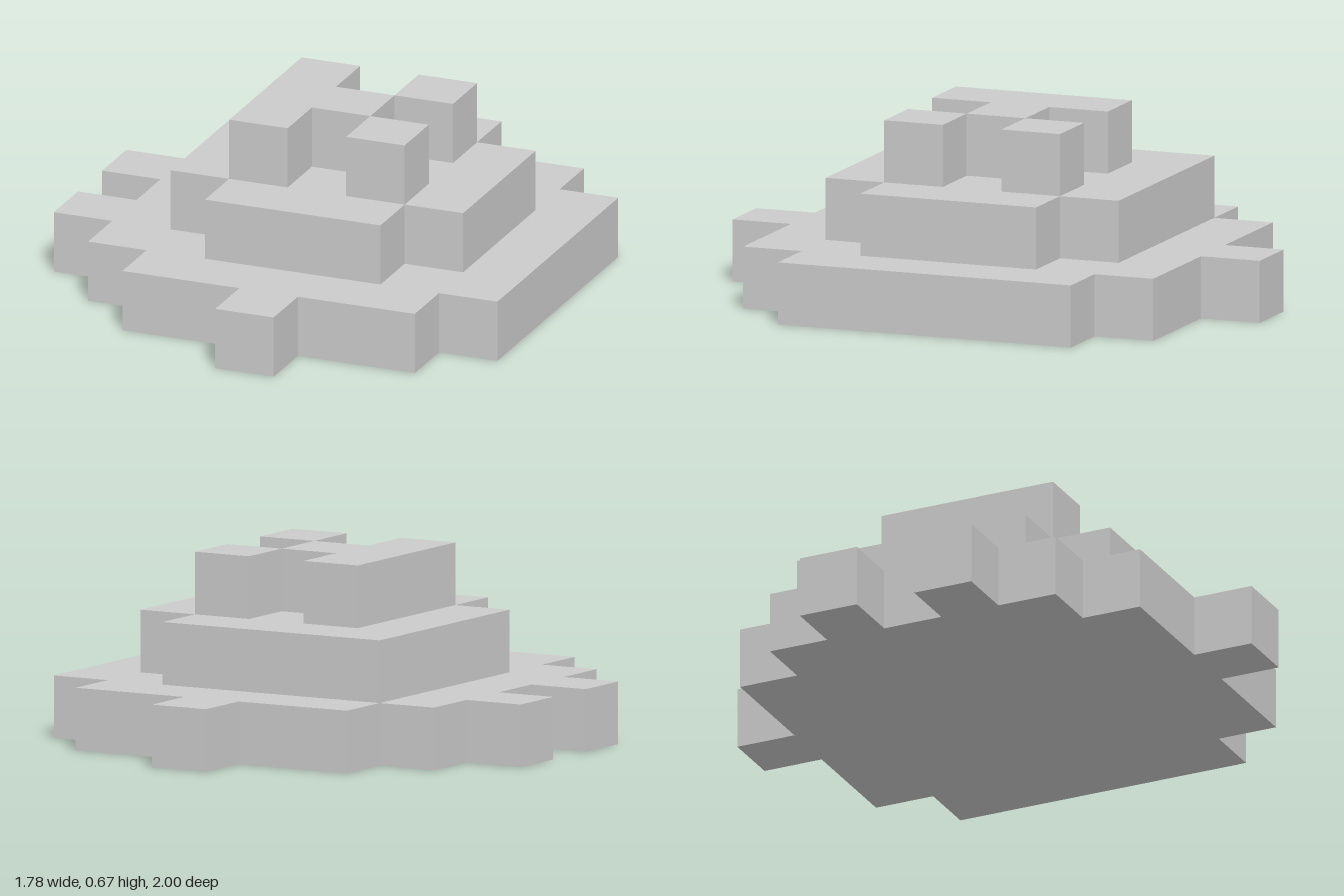
import * as THREE from 'three';

const CELL = 2 / 9; // edge of one cube in the blocky grid

// One flat slab: rows are [xStart, xEnd] cell spans, stacked from back to front starting at zStart.
function slab(name, level, zStart, rows, material) {
  const right = [], left = [];
  rows.forEach(([a, b], i) => {
    right.push([b, zStart + i], [b, zStart + i + 1]);
    left.push([a, zStart + i], [a, zStart + i + 1]);
  });
  const outline = [...right, ...left.reverse()]
    .filter((p, i, all) => i === 0 || p[0] !== all[i - 1][0] || p[1] !== all[i - 1][1])
    .map(([x, z]) => new THREE.Vector2((x - 4) * CELL, (z - 4.5) * CELL));

  const geometry = new THREE.ExtrudeGeometry(new THREE.Shape(outline), { depth: CELL, bevelEnabled: false });
  geometry.rotateX(Math.PI / 2); // shape y becomes z, depth runs downward
  geometry.translate(0, (level + 1) * CELL, 0);
  const mesh = new THREE.Mesh(geometry, material);
  mesh.name = name;
  return mesh;
}

export function createModel() {
  const group = new THREE.Group();
  group.name = 'steppedBlockMound';
  const material = new THREE.MeshStandardMaterial({ color: 0xcccccc, flatShading: true });

  group.add(
    // Wide base with single-cube tabs at the front, back and right
    slab('baseLayer', 0, 0, [[4, 5], [2, 7], [1, 8], [0, 8], [1, 8], [0, 8], [1, 8], [2, 7], [4, 5]], material),
    // Smaller middle step
    slab('middleLayer', 1, 2, [[2, 6], [2, 7], [2, 7], [2, 7], [3, 6]], material),
    // T-shaped crown
    slab('topRidge', 2, 3, [[3, 4], [3, 5], [3, 4]], material),
    // Two single cubes touching the crown at its corners
    slab('topCubeBack', 2, 3, [[5, 6]], material),
    slab('topCubeFront', 2, 5, [[5, 6]], material)
  );
  return group;
}
